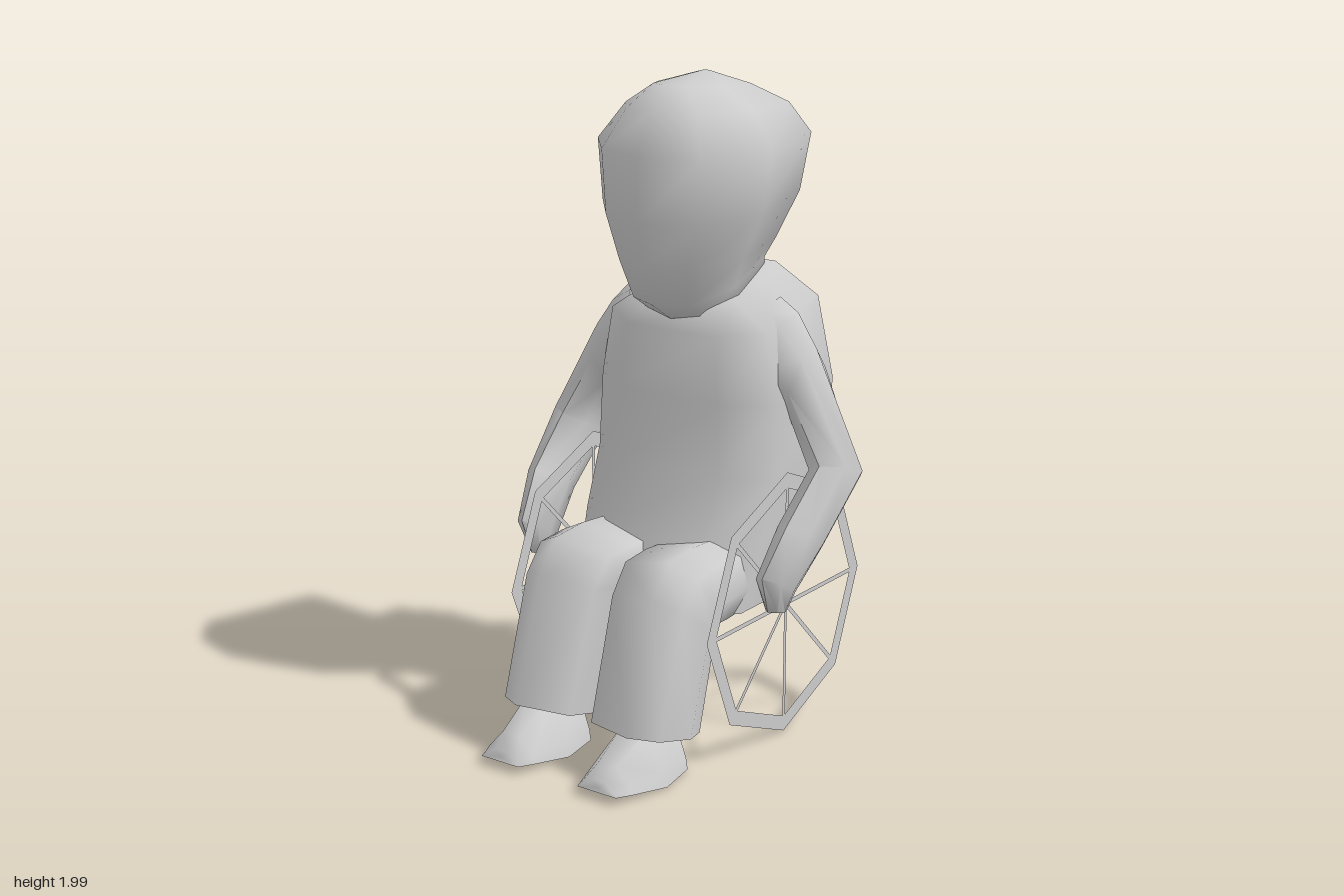
import * as THREE from 'three';
import { toCreasedNormals } from 'three/addons/utils/BufferGeometryUtils.js';

// Cross-section outlines in unit coordinates: [side, front]
const HEAD = [[-0.04, 1], [0.64, 0.85], [1, 0.1], [0.79, -0.93], [-0.57, -1], [-1, 0.4], [-0.6, 0.85]];
const TORSO = [[-0.55, 1], [0.55, 1], [1, 0.55], [1, -0.3], [0.88, -1], [0, -1.01], [-0.88, -1], [-1, -0.3], [-1, 0.55]];
const LEG = [[0.25, 1], [0.8, 0.6], [1, -0.3], [0.8, -1], [-0.75, -1], [-1, -0.3], [-0.85, 0.62]];
const ARM = [[0, 1], [0.8, 0.55], [1, -0.2], [0.35, -1], [-0.5, -0.9], [-1, 0], [-0.75, 0.6]];
const SHOE = [[-1, -1], [1, -1], [0.9, -0.5], [0.35, 1], [-0.35, 1], [-0.9, -0.5]];

// Places an outline at centre c, spanned by the half-axes u and v
function ring(outline, c, u, v) {
  return outline.map(([a, b]) => new THREE.Vector3(
    c[0] + a * u[0] + b * v[0], c[1] + a * u[1] + b * v[1], c[2] + a * u[2] + b * v[2]));
}

// Ring from side limits and tilted front/back limits
function limits(outline, [yF, yB, x0, x1, zF, zB]) {
  return ring(outline, [(x0 + x1) / 2, (yF + yB) / 2, (zF + zB) / 2],
    [(x1 - x0) / 2, 0, 0], [0, (yF - yB) / 2, (zF - zB) / 2]);
}

// Skins rings into a closed solid that always faces outward
function loft(rings, crease = 1.2) {
  const n = rings[0].length, m = rings.length;
  const pts = rings.flat();
  for (const end of [rings[0], rings[m - 1]]) {
    pts.push(end.reduce((s, p) => s.add(p), new THREE.Vector3()).divideScalar(n));
  }
  const faces = [];
  for (let j = 0; j < n; j++) {
    const k = (j + 1) % n;
    for (let i = 0; i < m - 1; i++) {
      const a = i * n + j, b = i * n + k;
      faces.push([a, b, b + n], [a, b + n, a + n]);
    }
    faces.push([m * n, k, j], [m * n + 1, (m - 1) * n + j, (m - 1) * n + k]);
  }
  let volume = 0;
  for (const [a, b, c] of faces) volume += pts[a].dot(pts[b].clone().cross(pts[c]));
  if (volume < 0) faces.forEach((f) => f.reverse());
  const geo = new THREE.BufferGeometry().setFromPoints(pts);
  geo.setIndex(faces.flat());
  return toCreasedNormals(geo, crease);
}

export function createModel() {
  const model = new THREE.Group();
  const grey = new THREE.MeshStandardMaterial({ color: 0xcccccc });
  const thin = new THREE.MeshStandardMaterial({ color: 0xcccccc, side: THREE.DoubleSide });
  const add = (name, geo, parent = model, mat = grey) => {
    const mesh = new THREE.Mesh(geo, mat);
    mesh.name = name;
    parent.add(mesh);
    return mesh;
  };

  // Head and neck
  add('head', loft([
    [1.28, 1.38, -0.13, 0.17, -0.05, -0.36],
    [1.34, 1.44, -0.15, 0.18, 0.04, -0.36],
    [1.46, 1.50, -0.19, 0.215, 0.08, -0.385],
    [1.60, 1.64, -0.24, 0.28, 0.115, -0.43],
    [1.79, 1.81, -0.265, 0.30, 0.115, -0.465],
    [1.91, 1.90, -0.18, 0.23, 0.06, -0.42],
    [1.98, 1.95, -0.09, 0.10, -0.02, -0.37],
    [2.0, 2.0, 0, 0.02, -0.21, -0.23],
  ].map((r) => limits(HEAD, r)), 1.6));

  // Torso, flat underneath
  add('torso', loft([
    [0.44, 0.44, -0.29, 0.32, 0.13, -0.34],
    [0.64, 0.62, -0.31, 0.34, 0.05, -0.40],
    [0.82, 0.82, -0.31, 0.35, -0.02, -0.45],
    [1.05, 1.05, -0.31, 0.34, -0.03, -0.497],
    [1.25, 1.31, -0.27, 0.30, -0.04, -0.46],
    [1.32, 1.42, -0.15, 0.19, -0.05, -0.37],
  ].map((r) => limits(TORSO, r))));

  for (const s of [1, -1]) {
    const side = s > 0 ? 'left' : 'right';
    const mid = 0.015;
    const mirror = (outline, list, x0 = 0) => loft(list.map(([c, u, v]) => ring(outline,
      [x0 + s * c[0], c[1], c[2]], [s * u[0], u[1], u[2]], [s * v[0], v[1], v[2]])));

    // Arm: shoulder, elbow, forearm, hand
    add(side + 'Arm', mirror(ARM, [
      [[0.2, 1.19, -0.25], [0.05, 0.15, 0], [0, 0, 0.12]],
      [[0.27, 1.15, -0.25], [0.045, 0.15, 0], [0, 0, 0.12]],
      [[0.36, 1.085, -0.25], [0.025, 0.115, 0], [0, 0, 0.095]],
      [[0.478, 0.845, -0.24], [0.08, 0.02, 0], [0, 0.04, 0.095]],
      [[0.468, 0.69, -0.07], [0.07, 0, 0], [0, 0.05, 0.08]],
      [[0.447, 0.56, 0.03], [0.055, 0, 0], [0, 0.04, 0.075]],
      [[0.442, 0.475, 0.02], [0.025, 0, 0], [0, 0.01, 0.045]],
    ]));

    // Trouser leg: hip, lap, knee, hem
    add(side + 'Leg', mirror(LEG, [
      [[0.155, 0.54, -0.1], [0.15, 0, 0], [0, 0.1, 0]],
      [[0.162, 0.545, 0.1], [0.16, 0, 0], [0, 0.11, 0.03]],
      [[0.164, 0.54, 0.19], [0.157, 0, 0], [0, 0.105, 0.06]],
      [[0.166, 0.475, 0.235], [0.155, 0, 0], [0, 0.075, 0.1]],
      [[0.168, 0.145, 0.335], [0.15, 0, 0], [0, 0.025, 0.125]],
    ], mid));

    // Shoe
    add(side + 'Shoe', mirror(SHOE, [
      [[0.18, 0.075, 0.235], [0.09, 0, 0], [0, 0.065, -0.01]],
      [[0.18, 0.092, 0.39], [0.12, 0, 0], [0, 0.077, 0]],
      [[0.18, 0.067, 0.515], [0.09, 0, 0], [0, 0.037, 0]],
      [[0.18, 0.05, 0.565], [0.07, 0, 0], [0, 0.015, -0.005]],
    ], mid));

    // Flat eight-sided wheel with spokes
    const wheel = new THREE.Group();
    wheel.name = side + 'Wheel';
    const octagon = (r) => Array.from({ length: 8 }, (_, i) =>
      new THREE.Vector2(r * Math.cos(i * Math.PI / 4), r * Math.sin(i * Math.PI / 4)));
    const rim = new THREE.Shape(octagon(0.415));
    rim.holes.push(new THREE.Path(octagon(0.367)));
    add('rim', new THREE.ShapeGeometry(rim), wheel, thin);
    for (let i = 0; i < 4; i++) {
      add('spoke', new THREE.PlaneGeometry(0.74, 0.014), wheel, thin).rotation.z = i * Math.PI / 4;
    }
    wheel.rotation.y = Math.PI / 2;
    wheel.position.set(s * 0.363, 0.428, -0.153);
    model.add(wheel);
  }
  return model;
}
